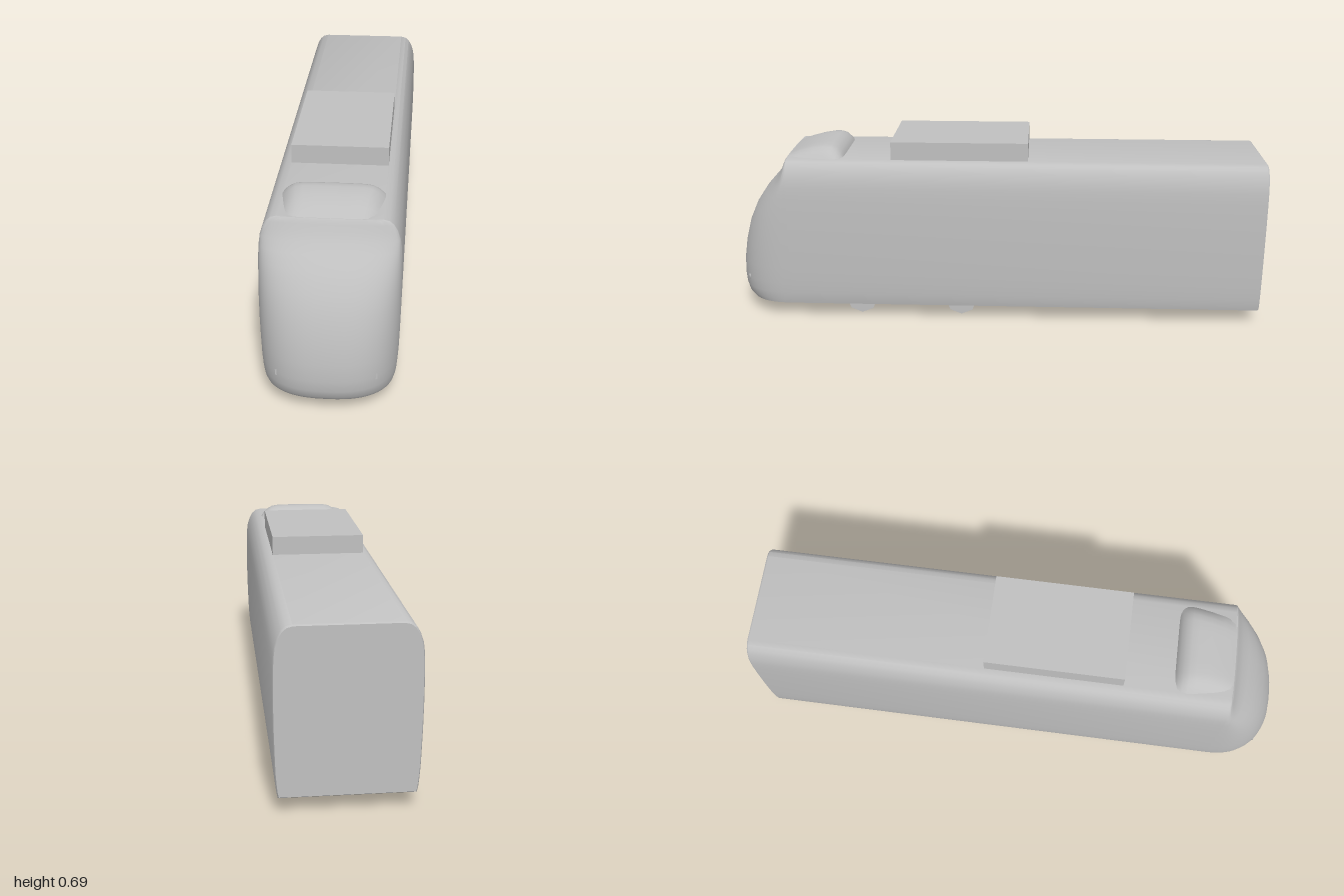
import * as THREE from 'three';
import { toCreasedNormals } from 'three/addons/utils/BufferGeometryUtils.js';

const SEAM = 0.78; // z where the straight body meets the nose
const ROOF = 0.617;

// Height, half width and nose reach (z) of the shell
const PROFILE = [
  [0.055, 0.218, 0.975], [0.072, 0.222, 0.989], [0.1, 0.225, 0.997], [0.14, 0.228, 1],
  [0.2, 0.23, 0.996], [0.27, 0.232, 0.984], [0.35, 0.233, 0.962], [0.42, 0.233, 0.93],
  [0.48, 0.232, 0.889], [0.52, 0.23, 0.853], [0.55, 0.226, 0.826], [0.58, 0.216, 0.808],
  [0.6, 0.204, 0.798], [0.612, 0.19, 0.792], [ROOF, 0.17, 0.788],
];

// Skins a stack of closed rings (counterclockwise seen from the last ring) and caps the ends
function loft(rings, crease = 0.7) {
  const n = rings[0].length;
  const pos = rings.flat(2);
  const index = [];
  for (let i = 0; i < rings.length - 1; i++) {
    for (let j = 0; j < n; j++) {
      const a = i * n + j, b = i * n + (j + 1) % n;
      index.push(a, b, b + n, a, b + n, a + n);
    }
  }
  const last = (rings.length - 1) * n;
  for (let j = 1; j < n - 1; j++) {
    index.push(0, j + 1, j, last, last + j, last + j + 1);
  }
  const g = new THREE.BufferGeometry();
  g.setAttribute('position', new THREE.Float32BufferAttribute(pos, 3));
  g.setIndex(index);
  return toCreasedNormals(g, crease);
}

// Cross-section of the body at z, shrunk about its centre by s
function bodyRing(z, s) {
  const right = PROFILE.map(([y, w]) => [w * s, 0.336 + (y - 0.336) * s, z]);
  const left = right.map(([x, y]) => [-x, y, z]).reverse();
  return [...right, ...left];
}

// Horizontal slice of the nose: a squarish half ellipse
function noseRing([y, w, reach]) {
  const ring = [], steps = 32, p = 2 / 2.5;
  for (let k = 0; k <= steps; k++) {
    const t = -Math.PI / 2 + (Math.PI * k) / steps;
    const s = Math.sin(t), c = Math.max(0, Math.cos(t));
    ring.push([w * Math.sign(s) * Math.abs(s) ** p, y, SEAM + (reach - SEAM) * c ** p]);
  }
  return ring;
}

// Cross-section of the roof fairing
function fairingRing([z, w, h]) {
  const half = [[1, 0], [0.95, 0.25], [0.86, 0.6], [0.74, 0.88], [0.6, 0.97], [0.35, 1]];
  const right = half.map(([x, y]) => [x * w, ROOF - 0.004 + y * h, z]);
  return [...right, ...right.map(([x, y]) => [-x, y, z]).reverse()];
}

export function createModel() {
  const model = new THREE.Group();
  const grey = new THREE.MeshStandardMaterial({ color: 0xc0c0c0 });
  grey.name = 'light grey';

  const add = (name, geometry, x = 0, y = 0, z = 0) => {
    const mesh = new THREE.Mesh(geometry, grey);
    mesh.name = name;
    mesh.position.set(x, y, z);
    model.add(mesh);
  };

  // Shell
  add('body', loft([bodyRing(-1, 0.985), bodyRing(-0.994, 1), bodyRing(SEAM, 1)]));
  add('nose', loft(PROFILE.map(noseRing)));

  // Roof equipment
  add('roofFairing', loft([
    [0.573, 0.145, 0.004], [0.585, 0.163, 0.022], [0.6, 0.172, 0.037], [0.62, 0.174, 0.045],
    [0.645, 0.171, 0.046], [0.69, 0.163, 0.039], [0.74, 0.153, 0.025], [0.785, 0.14, 0.004],
  ].map(fairingRing), 0.9));
  add('roofBox', new THREE.BoxGeometry(0.34, 0.07, 0.51), 0, 0.65, 0.135);

  // Wheels, octagonal with a corner at the bottom
  const wheel = new THREE.CylinderGeometry(0.06, 0.06, 0.022, 8).toNonIndexed();
  wheel.rotateZ(Math.PI / 2);
  wheel.computeVertexNormals();
  for (const side of [1, -1]) {
    for (const z of [0.52, 0.133]) add('wheel', wheel, side * 0.16, 0.06, z);
  }

  // Headlights set almost flush in the nose
  const lamp = (r) => new THREE.CylinderGeometry(r, r, 0.03, 6).rotateX(Math.PI / 2);
  for (const side of [1, -1]) {
    add('headlight', lamp(0.018), side * 0.15, 0.14, 0.942);
    add('smallLight', lamp(0.007), side * 0.113, 0.135, 0.966);
  }
  return model;
}
